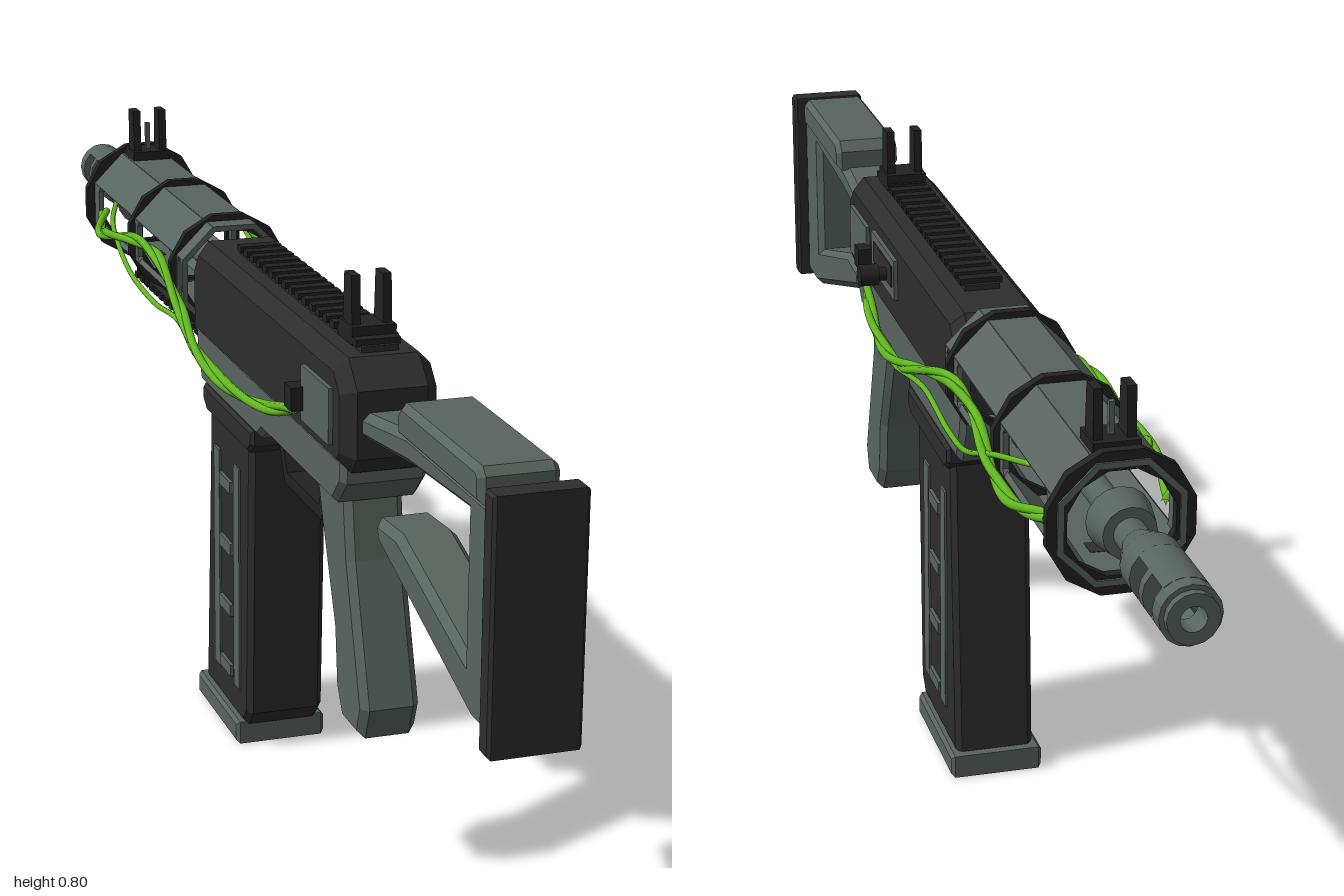
import * as THREE from 'three';

const mat = (name, color) => Object.assign(new THREE.MeshStandardMaterial({ color }), { name });

export function createModel() {
  const root = new THREE.Group();
  root.name = 'rifle';
  const grey = mat('grey green metal', 0x58645f);
  const dark = mat('dark metal', 0x2d2d2d);
  const black = mat('black fittings', 0x222222);
  const green = mat('green cable', 0x62b820);
  const AXIS = 0.644; // barrel height

  const add = (name, geo, m, x = 0, y = 0, z = 0, parent = root) => {
    const mesh = new THREE.Mesh(geo, m);
    mesh.name = name;
    mesh.position.set(x, y, z);
    parent.add(mesh);
    return mesh;
  };
  const box = (name, m, w, h, d, x, y, z, parent) =>
    add(name, new THREE.BoxGeometry(w, h, d), m, x, y, z, parent);
  const toShape = (pts) => new THREE.Shape(pts.map(([a, b]) => new THREE.Vector2(a, b)));

  // Side profile in (z, y), extruded across x with a chamfer
  const profile = (pts, width, bevel = 0, holes = []) => {
    const shape = toShape(pts);
    shape.holes = holes.map(toShape);
    const geo = new THREE.ExtrudeGeometry(shape, {
      depth: width - 2 * bevel, bevelEnabled: bevel > 0, bevelSegments: 1,
      bevelSize: bevel, bevelThickness: bevel, bevelOffset: -bevel,
    });
    geo.translate(0, 0, -(width - 2 * bevel) / 2);
    return geo.rotateY(-Math.PI / 2);
  };
  const rect = (a, b, c, d) => [[a, c], [b, c], [b, d], [a, d]];
  // Cylinder along the barrel from z0 to z1, r1 at the muzzle side
  const rod = (name, m, r0, r1, z0, z1, sides = 16) => {
    const geo = new THREE.CylinderGeometry(r0, r1, Math.abs(z1 - z0), sides).rotateX(Math.PI / 2);
    return add(name, geo, m, 0, AXIS, (z0 + z1) / 2);
  };
  // Ring or ring sector around the barrel axis
  const ring = (name, m, rOut, rIn, z0, z1, a0 = 0, a1 = Math.PI * 2, n = 16) => {
    const pt = (r, i) => {
      const a = a0 + (a1 - a0) * i / n;
      return [Math.cos(a) * r, Math.sin(a) * r];
    };
    const full = a1 - a0 > 6.28;
    const idx = Array.from({ length: full ? n : n + 1 }, (_, i) => i);
    const outer = idx.map((i) => pt(rOut, i)), inner = idx.map((i) => pt(rIn, i));
    const shape = toShape(full ? outer : [...outer, ...inner.reverse()]);
    if (full) shape.holes = [toShape(inner)];
    const geo = new THREE.ExtrudeGeometry(shape, { depth: Math.abs(z1 - z0), bevelEnabled: false });
    return add(name, geo, m, 0, AXIS, Math.min(z0, z1));
  };

  // Shoulder stock
  add('buttPad', profile(rect(0.97, 1, 0.385, 0.7), 0.116, 0.004), dark);
  add('stockFrame', profile([[0.975, 0.39], [0.9, 0.39], [0.565, 0.495], [0.56, 0.525], [0.64, 0.53],
    [0.875, 0.46], [0.875, 0.64], [0.68, 0.63], [0.5, 0.61], [0.5, 0.645], [0.67, 0.67], [0.93, 0.67],
    [0.95, 0.69], [0.975, 0.69]], 0.08, 0.01), grey);
  add('cheekRest', profile([[0.935, 0.665], [0.935, 0.7], [0.925, 0.71], [0.675, 0.71], [0.66, 0.695],
    [0.66, 0.665]], 0.1, 0.008), grey);

  // Receiver
  add('upperReceiver', profile([[0.51, 0.585], [0.51, 0.675], [0.475, 0.71], [-0.16, 0.71],
    [-0.192, 0.67], [-0.192, 0.562], [0.49, 0.562]], 0.13, 0.018), dark);
  add('lowerReceiver', profile([[0.485, 0.58], [-0.192, 0.58], [-0.185, 0.545], [-0.165, 0.495],
    [0.12, 0.495], [0.14, 0.51], [0.45, 0.51], [0.485, 0.545]], 0.118, 0.008), grey);
  add('magazineWell', profile([[0.11, 0.503], [-0.135, 0.503], [-0.135, 0.48], [-0.115, 0.465],
    [0.09, 0.465], [0.11, 0.48]], 0.13, 0.005), dark);

  // Magazine with ladder inlay
  add('magazine', profile([[0.08, 0.48], [-0.122, 0.48], [-0.152, 0.03], [0.043, 0.03], [0.065, 0.055]],
    0.114, 0.008), dark);
  add('magazineBase', profile(rect(-0.165, 0.043, 0, 0.034), 0.134, 0.005), grey);
  for (const s of [-1, 1]) {
    for (const z of [0.017, -0.082])
      box('magazineRail', grey, 0.008, 0.34, 0.028, s * 0.056, 0.25, z);
    for (const y of [0.095, 0.19, 0.285, 0.38])
      box('magazineRung', grey, 0.009, 0.018, 0.055, s * 0.0575, y, -0.035);
  }

  // Grip, trigger and guard
  add('grip', profile([[0.445, 0.52], [0.32, 0.52], [0.345, 0.45], [0.4, 0.32], [0.41, 0.24],
    [0.435, 0.2], [0.505, 0.2], [0.522, 0.245], [0.46, 0.43]], 0.08, 0.01), grey);
  add('triggerGuard', profile([[0.327, 0.515], [0.287, 0.428], [0.125, 0.428], [0.085, 0.5], [0.105, 0.505],
    [0.135, 0.446], [0.275, 0.446], [0.306, 0.515]], 0.04), black);
  add('trigger', profile([[0.235, 0.515], [0.215, 0.515], [0.22, 0.48], [0.235, 0.462], [0.265, 0.455],
    [0.262, 0.463], [0.243, 0.475], [0.236, 0.49]], 0.016), grey);

  // Toothed rails
  const rail = (name, z0, z1, y, dir, count) => {
    const g = new THREE.Group();
    g.name = name;
    root.add(g);
    box('railBed', dark, 0.05, 0.012, z0 - z1, 0, y, (z0 + z1) / 2, g);
    const step = (z0 - z1) / count;
    for (let i = 0; i < count; i++)
      box('railTooth', black, 0.06, 0.009, step * 0.6, 0, y + dir * 0.009, z0 - step * (i + 0.5), g);
  };
  rail('topRail', 0.46, -0.075, 0.712, 1, 18);
  rail('bottomRail', -0.28, -0.665, 0.545, -1, 13);
  for (const z of [-0.3, -0.465, -0.64]) box('railMount', dark, 0.03, 0.025, 0.03, 0, 0.56, z);

  // Octagonal handguard with window cutouts in its flat sides
  const half = 0.0335;
  const windowAt = (a, b) => {
    const h = 0.0325, c = 0.008;
    return [[a + c, -h], [b - c, -h], [b, -h + c], [b, h - c], [b - c, h], [a + c, h], [a, h - c], [a, -h + c]];
  };
  for (let k = 0; k < 8; k++) {
    const holes = k % 4 ? [] : [windowAt(-0.445, -0.25), windowAt(-0.69, -0.485), windowAt(-0.216, -0.193)];
    const geo = profile(rect(-0.735, -0.185, -half, half), 0.008, 0, holes);
    geo.translate(0.076, 0, 0).rotateZ(k * Math.PI / 4);
    add('handguardPanel', geo, grey, 0, AXIS, 0);
  }
  for (const z of [-0.225, -0.465, -0.725])
    ring('handguardBand', black, z < -0.7 ? 0.096 : 0.092, 0.07, z - 0.007, z + 0.007,
      Math.PI / 12, Math.PI * 25 / 12, 12);

  // Barrel and slotted muzzle brake
  rod('innerBarrel', grey, 0.018, 0.018, -0.15, -0.73);
  rod('barrelCollar', grey, 0.042, 0.034, -0.72, -0.765);
  rod('barrel', grey, 0.021, 0.021, -0.75, -0.84);
  rod('brakeTaper', grey, 0.022, 0.038, -0.8, -0.845);
  rod('brakeBody', grey, 0.038, 0.038, -0.845, -0.882);
  for (const a of [Math.PI / 4, Math.PI * 5 / 4])
    ring('brakeRib', grey, 0.038, 0.024, -0.97, -0.88, a, a + Math.PI / 2);
  ring('brakeDivider', grey, 0.038, 0.018, -0.93, -0.916);
  ring('brakeEnd', grey, 0.038, 0.016, -0.99, -0.966);
  ring('muzzleLip', grey, 0.032, 0.016, -1, -0.99);

  // Twin-post sights
  for (const [name, z] of [['rearSight', 0.41], ['frontSight', -0.68]]) {
    const g = new THREE.Group();
    g.name = name;
    root.add(g);
    box('sightBase', black, 0.06, 0.024, 0.055, 0, 0.726, z, g);
    for (const s of [-1, 1])
      add('sightPost', profile([[-0.018, 0.73], [0.018, 0.73], [0.014, 0.802], [-0.014, 0.802]], 0.012),
        black, s * 0.021, 0, z, g);
  }
  box('sightPin', grey, 0.007, 0.06, 0.008, 0, 0.75, -0.68);

  // Ejection port and charging handle
  box('ejectionPort', grey, 0.01, 0.06, 0.15, 0.066, 0.647, 0.24);
  box('ejectionCover', dark, 0.008, 0.032, 0.12, 0.069, 0.65, 0.235);
  const across = (r, l) => new THREE.CylinderGeometry(r, r, l, 10).rotateZ(Math.PI / 2);
  add('handleStem', across(0.01, 0.04), black, 0.08, AXIS, 0.21);
  add('handleKnob', across(0.016, 0.028), black, 0.099, AXIS, 0.21);

  // Main cable is a twisted pair, with a loose strand branching off; points as (x, y, z)
  const mainPath = [[0.075, 0.607, 0.345], [0.088, 0.585, 0.26], [0.104, 0.577, 0.12], [0.108, 0.592, -0.02],
    [0.1, 0.625, -0.14], [0.093, 0.66, -0.28], [0.094, 0.658, -0.4], [0.106, 0.637, -0.53],
    [0.098, 0.625, -0.61], [0.074, 0.637, -0.68]];
  const loosePath = [[0.075, 0.602, 0.34], [0.1, 0.575, 0.18], [0.111, 0.585, 0], [0.1, 0.6, -0.14],
    [0.1, 0.592, -0.28], [0.106, 0.612, -0.4], [0.1, 0.655, -0.52], [0.074, 0.672, -0.6]];
  const cable = (name, side, path, r, twist, phase) => {
    const base = new THREE.CatmullRomCurve3(path.map(([x, y, z]) => new THREE.Vector3(x, y, z)));
    const pts = base.getPoints(48).map((p, i) => {
      const a = phase + i * 0.45;
      return new THREE.Vector3(side * (p.x + Math.cos(a) * twist), p.y + Math.sin(a) * twist, p.z);
    });
    add(name, new THREE.TubeGeometry(new THREE.CatmullRomCurve3(pts), 96, r, 8), green);
  };
  for (const s of [-1, 1]) {
    box('sidePlate', grey, 0.01, 0.075, 0.115, s * 0.066, 0.632, 0.41);
    box('cableSocket', black, 0.03, 0.032, 0.03, s * 0.072, 0.625, 0.348);
    for (const phase of [0, Math.PI]) cable('mainCable', s, mainPath, 0.006, 0.004, phase);
    cable('looseCable', s, loosePath, 0.004, 0, 0);
  }
  return root;
}
